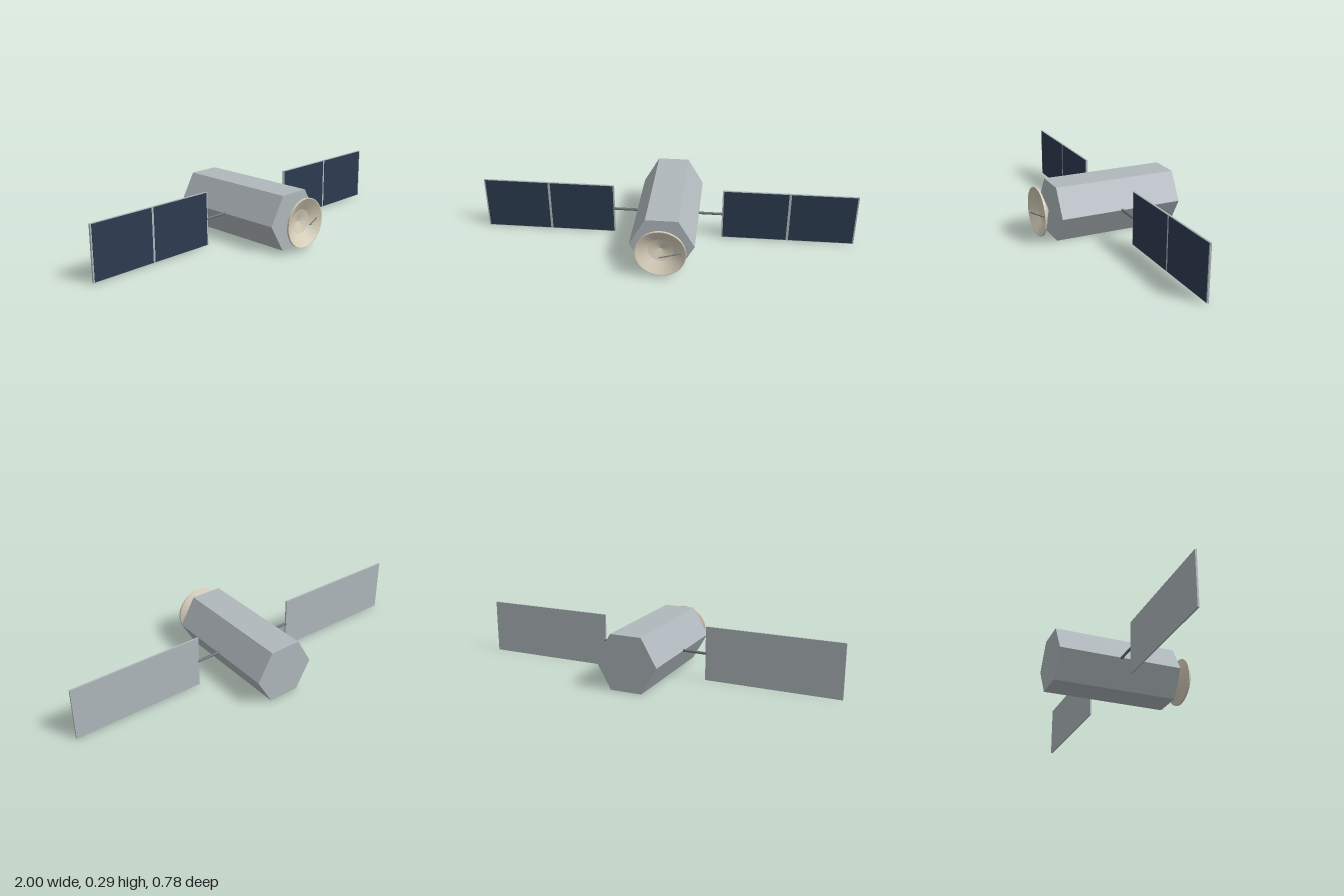
import * as THREE from 'three';

const mat = (name, color) => {
  const m = new THREE.MeshStandardMaterial({ color });
  m.name = name;
  return m;
};

export function createModel() {
  const hull = mat('hull grey', 0xb0b8bd);
  const cells = mat('solar blue', 0x2c3b50);
  const cream = mat('dish cream', 0xd8d0bc);
  const metal = mat('dark metal', 0x6a7074);

  const model = new THREE.Group();
  model.name = 'satellite';
  const CY = 0.1445, PZ = -0.056;

  const add = (name, geometry, material, x = 0, y = CY, z = 0, parent = model) => {
    const mesh = new THREE.Mesh(geometry, material);
    mesh.name = name;
    mesh.position.set(x, y, z);
    parent.add(mesh);
    return mesh;
  };

  // Hexagonal body lying along z, with corners pointing left and right
  const bodyGeo = new THREE.CylinderGeometry(0.1668, 0.1668, 0.668, 6)
    .toNonIndexed().rotateY(Math.PI / 6).rotateX(Math.PI / 2).rotateZ(0);
  bodyGeo.computeBoundingBox();
  // Guarantee that the wide axis is x
  if (bodyGeo.boundingBox.max.x < 0.16) bodyGeo.rotateZ(Math.PI / 6);
  bodyGeo.computeVertexNormals();
  add('body', bodyGeo, hull, 0, CY, -0.056);

  // Solar wings: boom, backing panel and two cell fields on the front
  for (const s of [1, -1]) {
    const wing = new THREE.Group();
    wing.name = s > 0 ? 'leftWing' : 'rightWing';
    model.add(wing);
    add('boom', new THREE.CylinderGeometry(0.007, 0.007, 0.18, 12).rotateZ(Math.PI / 2),
      metal, s * 0.205, CY, PZ, wing);
    add('panel', new THREE.BoxGeometry(0.71, 0.285, 0.009), hull, s * 0.645, CY, PZ, wing);
    for (const x of [0.468, 0.822]) {
      add('solarCells', new THREE.BoxGeometry(0.341, 0.279, 0.002), cells,
        s * x, CY, PZ + 0.005, wing);
    }
  }

  // Dish: conical back, short rim and hollow front
  const profile = [[0, 0.289], [0.13, 0.347], [0.13, 0.357], [0.126, 0.357], [0.065, 0.321], [0, 0.302]]
    .map(([r, z]) => new THREE.Vector2(r, z));
  const dishGeo = new THREE.LatheGeometry(profile, 32).rotateX(Math.PI / 2).toNonIndexed();
  dishGeo.computeVertexNormals();
  add('dish', dishGeo, cream);

  // Feed arm slanting from the dish wall to its axis
  const from = new THREE.Vector3(0.11, CY, 0.338), to = new THREE.Vector3(0, CY, 0.387);
  const dir = to.clone().sub(from);
  const arm = add('feedArm', new THREE.CylinderGeometry(0.003, 0.003, dir.length(), 8), metal);
  arm.position.copy(from).add(to).multiplyScalar(0.5);
  arm.quaternion.setFromUnitVectors(new THREE.Vector3(0, 1, 0), dir.normalize());

  return model;
}
